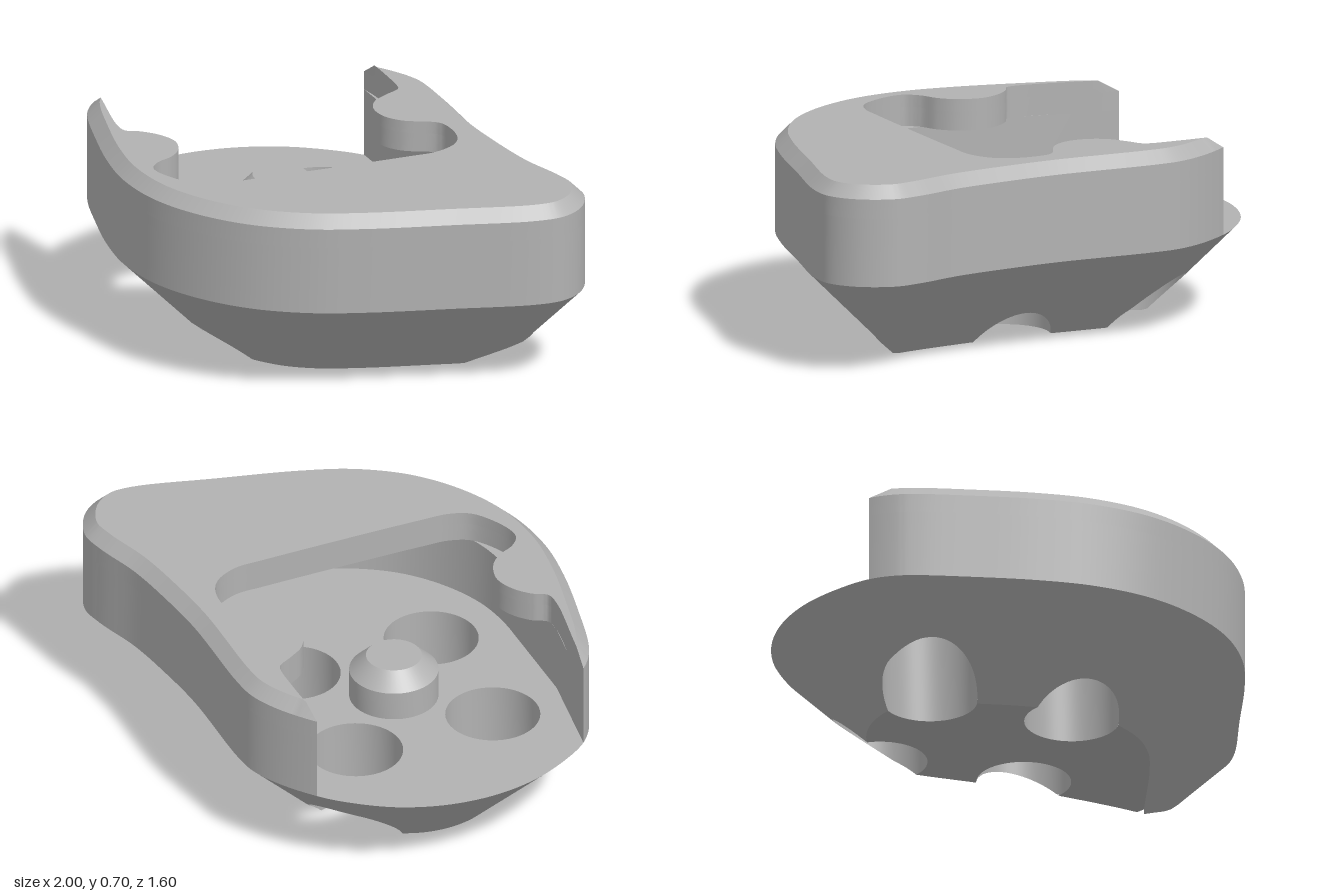
import * as THREE from 'three';
import { toCreasedNormals } from 'three/addons/utils/BufferGeometryUtils.js';

const FLOOR = 0.34, LIP = 0.59, EDGE = 0.66, TOP = 0.705, STEP = 8;
const V = (x, z) => new THREE.Vector2(x, z);

// Smooth path through [x, z] points, STEP samples per span
function smooth(pts, closed) {
  const c = new THREE.CatmullRomCurve3(pts.map(([x, z]) => new THREE.Vector3(x, 0, z)), closed, 'centripetal');
  const n = (closed ? pts.length : pts.length - 1) * STEP;
  const out = [];
  for (let i = 0; i < (closed ? n : n + 1); i++) {
    const p = c.getPoint(i / n);
    out.push(V(p.x, p.z));
  }
  return out;
}

function toGeometry(tris) {
  const g = new THREE.BufferGeometry();
  g.setAttribute('position', new THREE.Float32BufferAttribute(tris.flat(2), 3));
  return toCreasedNormals(g, 0.5);
}

// Flat triangulated face at height y, facing up or down
function cap(tris, loop, y, up, holes = []) {
  const all = [loop, ...holes].flat();
  for (const f of THREE.ShapeUtils.triangulateShape(loop.slice(), holes.map(h => h.slice()))) {
    let [a, b, c] = f.map(i => all[i]);
    const area = (b.x - a.x) * (c.y - a.y) - (b.y - a.y) * (c.x - a.x);
    if ((area > 0) === up) [b, c] = [c, b];
    tris.push([a, b, c].map(p => [p.x, y, p.y]));
  }
}

// Solid between two matching loops at two heights
function loft(low, high, y0, y1) {
  const tris = [], n = low.length;
  for (let i = 0; i < n; i++) {
    const j = (i + 1) % n;
    const la = [low[i].x, y0, low[i].y], lb = [low[j].x, y0, low[j].y];
    const ha = [high[i].x, y1, high[i].y], hb = [high[j].x, y1, high[j].y];
    tris.push([la, ha, lb], [lb, ha, hb]);
  }
  cap(tris, low, y0, false);
  cap(tris, high, y1, true);
  return toGeometry(tris);
}

// Cuts a convex loop out of a convex polygon, returns the remaining pieces
function subtract(poly, loop) {
  const pieces = [], n = loop.length;
  const side = (p, a, b) => (b.x - a.x) * (p[2] - a.y) - (b.y - a.y) * (p[0] - a.x);
  for (let i = 0; i < n; i++) {
    if (poly.every(p => side(p, loop[i], loop[(i + 1) % n]) <= 0)) return [poly];
  }
  let rest = poly;
  for (let i = 0; i < n && rest.length > 2; i++) {
    const a = loop[i], b = loop[(i + 1) % n], inside = [], outside = [];
    rest.forEach((p, k) => {
      const q = rest[(k + 1) % rest.length], sp = side(p, a, b), sq = side(q, a, b);
      (sp >= 0 ? inside : outside).push(p);
      if ((sp >= 0) !== (sq >= 0)) {
        const t = sp / (sp - sq), m = p.map((v, d) => v + (q[d] - v) * t);
        inside.push(m);
        outside.push(m);
      }
    });
    if (outside.length > 2) pieces.push(outside);
    rest = inside;
  }
  return pieces;
}

export function createModel() {
  const group = new THREE.Group();
  const grey = new THREE.MeshStandardMaterial({ color: 0xb2b2b2 });
  grey.name = 'grey';
  const add = (name, geometry) => {
    const m = new THREE.Mesh(geometry, grey);
    m.name = name;
    group.add(m);
    return m;
  };

  // Teardrop outline: walled side first, then the open round back
  const walled = [[-0.2, -0.795], [-0.04, -0.76], [0.07, -0.71], [0.15, -0.64], [0.4, -0.36], [0.55, -0.22],
    [0.72, -0.08], [0.88, 0.02], [0.96, 0.09], [1, 0.22], [0.975, 0.33], [0.9, 0.405], [0.63, 0.55],
    [0.36, 0.69], [0.17, 0.765], [-0.04, 0.795], [-0.25, 0.765], [-0.45, 0.68], [-0.62, 0.54],
    [-0.75, 0.37], [-0.88, 0.15], [-0.96, 0], [-0.99, -0.08], [-1, -0.175]];
  const back = [];
  for (let d = 195; d <= 270; d += 15) {
    const a = d * Math.PI / 180;
    back.push([-0.31 + 0.69 * Math.cos(a), -0.11 + 0.69 * Math.sin(a)]);
  }
  const outline = smooth([...walled, ...back], true), N = outline.length;
  const last = (walled.length - 1) * STEP;
  const inward = outline.map((p, i) => {
    const t = outline[(i + 1) % N].clone().sub(outline[(i + N - 1) % N]).normalize();
    return V(-t.y, t.x);
  });
  const inset = (i, d) => outline[i].clone().addScaledVector(inward[i], d);
  const edgeDistance = p => {
    let best = Infinity;
    for (let i = 0; i < N; i++) {
      const a = outline[i], e = outline[(i + 1) % N].clone().sub(a), w = p.clone().sub(a);
      const t = THREE.MathUtils.clamp(w.dot(e) / e.lengthSq(), 0, 1);
      best = Math.min(best, w.addScaledVector(e, -t).length());
    }
    return best;
  };

  // Base: 45 degree taper that stops where opposite slopes meet, with four round holes
  const holes = [[-0.24, -0.47], [-0.635, -0.1], [0.125, -0.07], [-0.275, 0.295]].map(([x, z]) =>
    Array.from({ length: 56 }, (_, i) => {
      const a = i / 56 * Math.PI * 2;
      return V(x + 0.17 * Math.cos(a), z + 0.17 * Math.sin(a));
    }));
  const depth = outline.map((_, i) => {
    const fits = t => edgeDistance(inset(i, t)) >= t - 0.003;
    if (fits(FLOOR)) return FLOOR;
    let lo = 0, hi = FLOOR;
    for (let k = 0; k < 14; k++) {
      const mid = (lo + hi) / 2;
      if (fits(mid)) lo = mid; else hi = mid;
    }
    return lo;
  });
  const inner = depth.map((d, i) => inset(i, d));
  const under = [];
  for (let i = 0; i < N; i++) {
    const j = (i + 1) % N;
    const ha = [outline[i].x, FLOOR, outline[i].y], hb = [outline[j].x, FLOOR, outline[j].y];
    const la = [inner[i].x, FLOOR - depth[i], inner[i].y], lb = [inner[j].x, FLOOR - depth[j], inner[j].y];
    under.push([la, ha, lb], [lb, ha, hb]);
  }
  cap(under, inner.filter((_, i) => depth[i] === FLOOR), 0, false);
  const base = [];
  for (const tri of under) {
    let pieces = [tri];
    for (const h of holes) pieces = pieces.flatMap(p => subtract(p, h));
    for (const p of pieces) for (let k = 1; k < p.length - 1; k++) base.push([p[0], p[k], p[k + 1]]);
  }
  add('taperedBase', toGeometry(base));
  const floor = [];
  cap(floor, outline, FLOOR, true, holes);
  add('floor', toGeometry(floor));

  // Hole walls, cut off at the bottom by the taper
  const bores = [];
  for (const h of holes) {
    const low = h.map(p => [p.x, Math.max(0, FLOOR - edgeDistance(p)), p.y]);
    h.forEach((p, i) => {
      const j = (i + 1) % h.length, ha = [p.x, FLOOR, p.y], hb = [h[j].x, FLOOR, h[j].y];
      bores.push([low[i], low[j], ha], [low[j], hb, ha]);
    });
  }
  add('holeWalls', toGeometry(bores));

  // Side wall around the hollow below the lip
  const rim = outline.slice(0, last + 1);
  const hollow = [V(0, -0.585)];
  for (let i = 3 * STEP; i <= 18 * STEP; i++) hollow.push(inset(i, 0.14));
  hollow.push(V(-0.8, 0.13));
  const wallLoop = [...rim, ...hollow.reverse()];
  add('sideWall', loft(wallLoop, wallLoop, FLOOR, LIP));

  // Overhanging lip with two rounded bumps
  const startTrim = V(-0.145, -0.75), endTrim = V(-0.952, -0.11);
  const pocket = smooth([walled[0], [-0.145, -0.75], [-0.06, -0.66], [0, -0.59], [0.015, -0.56], [-0.005, -0.49],
    [-0.02, -0.42], [0, -0.345], [0.06, -0.285], [0.14, -0.265], [0.27, -0.29], [0.33, -0.25], [0.385, -0.17],
    [0.395, -0.1], [0.36, -0.01], [0.28, 0.07], [-0.18, 0.49], [-0.26, 0.555], [-0.34, 0.58], [-0.48, 0.535],
    [-0.53, 0.49], [-0.535, 0.43], [-0.51, 0.36], [-0.51, 0.29], [-0.55, 0.21], [-0.62, 0.17], [-0.7, 0.16],
    [-0.755, 0.17], [-0.8, 0.13], [-0.952, -0.11], walled[walled.length - 1]], false);
  const P = pocket.length - 1;
  const lipLoop = [...rim, ...pocket.slice(1, P).reverse()];
  add('lip', loft(lipLoop, lipLoop, LIP, EDGE));

  // Chamfered top, trimmed where the rim runs into the opening
  const rimTop = rim.map((_, i) => {
    const p = inset(i, 0.045);
    if (p.y < -0.6 && p.x < startTrim.x) return startTrim.clone();
    if (p.x < -0.8 && p.y < endTrim.y) return endTrim.clone();
    return p;
  });
  const pocketTop = pocket.map((p, i) => i < STEP ? startTrim.clone() : i > P - STEP ? endTrim.clone() : p);
  add('chamferedTop', loft(lipLoop, [...rimTop, ...pocketTop.slice(1, P).reverse()], EDGE, TOP));

  // Centre peg
  const profile = [[0.16, FLOOR], [0.16, 0.45], [0.1, 0.51], [0, 0.51]].map(([r, y]) => V(r, y));
  const peg = add('peg', toCreasedNormals(new THREE.LatheGeometry(profile, 48), 0.5));
  peg.position.set(-0.26, 0, -0.09);

  return group;
}
